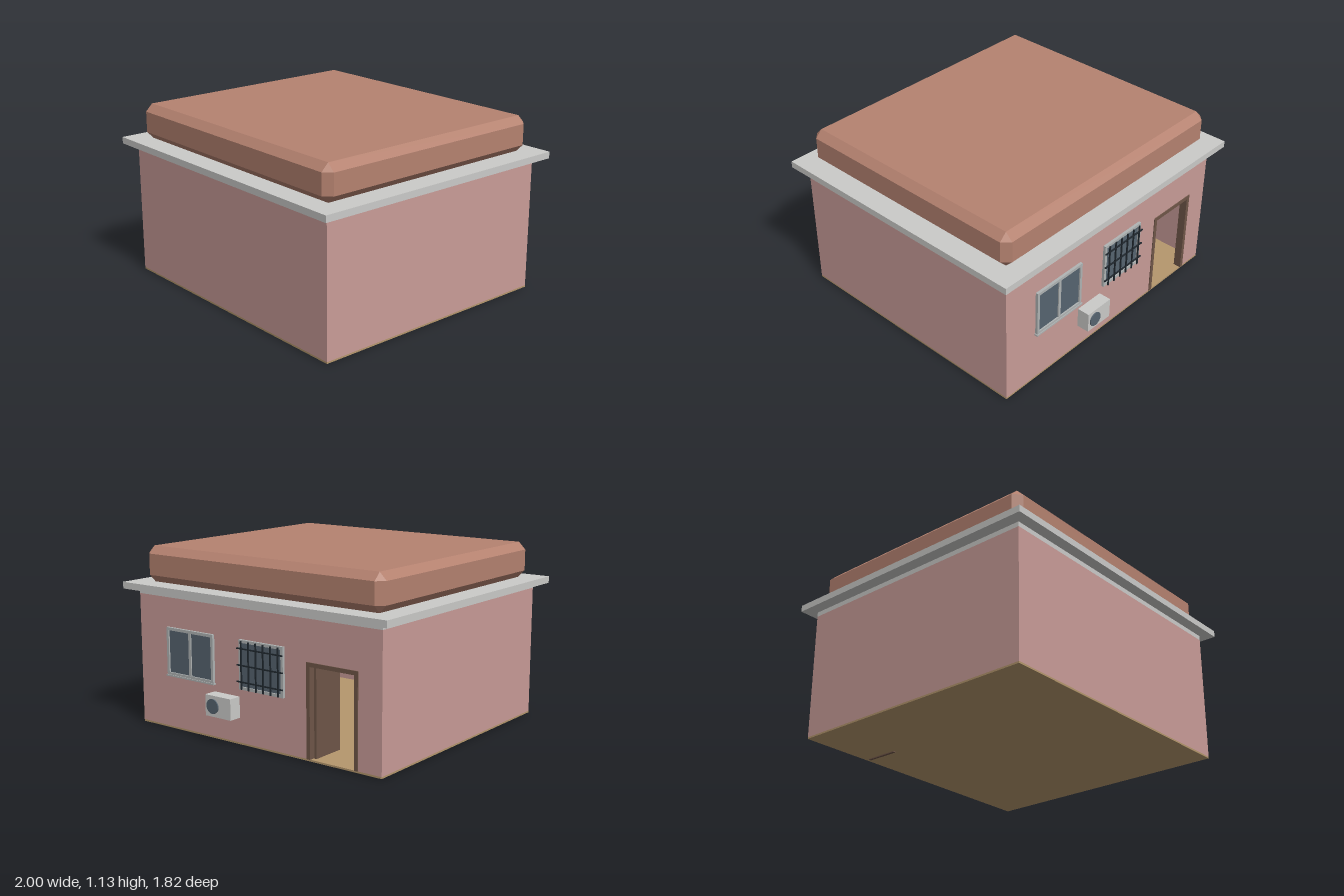
import * as THREE from 'three';
import { ConvexGeometry } from 'three/addons/geometries/ConvexGeometry.js';

const mat = (name, color) => {
  const m = new THREE.MeshStandardMaterial({ color });
  m.name = name;
  return m;
};

export function createModel() {
  const pink = mat('pink plaster', 0xc99c98);
  const grey = mat('light concrete', 0xcbcbc9);
  const clay = mat('clay roof', 0xb58270);
  const tan = mat('tan floor', 0xb5976d);
  const brown = mat('brown wood', 0x6f5648);
  const alu = mat('window frame grey', 0xb0b4b4);
  const glass = mat('slate glass', 0x566470);
  const iron = mat('dark iron', 0x20282f);

  const model = new THREE.Group();
  model.name = 'house';

  // Box given by its min and max corners
  const box = (name, m, x0, x1, y0, y1, z0, z1, parent = model) => {
    const mesh = new THREE.Mesh(new THREE.BoxGeometry(x1 - x0, y1 - y0, z1 - z0), m);
    mesh.position.set((x0 + x1) / 2, (y0 + y1) / 2, (z0 + z1) / 2);
    mesh.name = name;
    parent.add(mesh);
    return mesh;
  };
  const group = (name) => {
    const g = new THREE.Group();
    g.name = name;
    model.add(g);
    return g;
  };

  const W = 0.925, ZB = -0.82, ZF = 0.84, T = 0.04, Y0 = 0.017, Y1 = 0.833;

  // Floor, ceiling band, eaves slab
  box('floor', tan, -W, W, 0.006, Y0, ZB, ZF);
  box('ceilingBand', grey, -W, W, Y1, 0.865, ZB, ZF);
  box('eavesSlab', grey, -1, 1, 0.863, 0.905, -0.89, 0.91);

  // Solid walls
  box('frontWall', pink, -W, W, Y0, Y1, ZF - T, ZF);
  box('leftWall', pink, W - T, W, Y0, Y1, ZB + T, ZF - T);
  box('rightWall', pink, -W, -W + T, Y0, Y1, ZB + T, ZF - T);

  // Back wall with the doorway notched out
  const D0 = -0.765, D1 = -0.405, DH = 0.585;
  const outline = [[-W, Y0], [D0, Y0], [D0, DH], [D1, DH], [D1, Y0], [W, Y0], [W, Y1], [-W, Y1]];
  const backWall = new THREE.Mesh(
    new THREE.ExtrudeGeometry(new THREE.Shape(outline.map((p) => new THREE.Vector2(...p))),
      { depth: T, bevelEnabled: false }), pink);
  backWall.position.z = ZB;
  backWall.name = 'backWall';
  model.add(backWall);

  // Chamfered roof block: three points at each corner
  const c = 0.046, half = [0.9, 0.1125, 0.807], pts = [];
  for (const sx of [-1, 1]) for (const sy of [-1, 1]) for (const sz of [-1, 1]) {
    for (let k = 0; k < 3; k++) {
      const v = [sx, sy, sz].map((s, i) => s * (half[i] - (i === k ? 0 : c)));
      pts.push(new THREE.Vector3(...v));
    }
  }
  const roof = new THREE.Mesh(new ConvexGeometry(pts), clay);
  roof.position.set(0, 1.0175, 0.008);
  roof.name = 'roofBlock';
  model.add(roof);

  // Door frame and door leaf swung inward
  const door = group('doorway');
  const f = 0.025, z0 = ZB - 0.005, z1 = ZB + T + 0.005;
  box('doorJambLeft', brown, D1 - f, D1, Y0, DH, z0, z1, door);
  box('doorJambRight', brown, D0, D0 + f, Y0, DH, z0, z1, door);
  box('doorHead', brown, D0 + f, D1 - f, DH - f, DH, z0, z1, door);
  box('doorLeaf', brown, -0.45, -0.434, 0, DH - f, -0.79, -0.57, door);

  // Rectangular window frame with a glass plate behind it
  const windowFrame = (g, x0, x1, y0, y1, zOut, b) => {
    box('glass', glass, x0 + b, x1 - b, y0 + b, y1 - b, ZB - 0.008, ZB, g);
    box('frameTop', alu, x0, x1, y1 - b, y1, zOut, ZB, g);
    box('frameBottom', alu, x0, x1, y0, y0 + b, zOut, ZB, g);
    box('frameSide', alu, x0, x0 + b, y0 + b, y1 - b, zOut, ZB, g);
    box('frameSide', alu, x1 - b, x1, y0 + b, y1 - b, zOut, ZB, g);
  };

  // Two-pane sliding window
  const sliding = group('slidingWindow');
  windowFrame(sliding, 0.3, 0.685, 0.35, 0.65, -0.837, 0.018);
  box('mullion', alu, 0.483, 0.502, 0.368, 0.632, -0.835, ZB, sliding);
  box('sill', alu, 0.294, 0.691, 0.343, 0.353, -0.842, ZB, sliding);

  // Window with an iron grille
  const barred = group('barredWindow');
  windowFrame(barred, -0.245, 0.092, 0.35, 0.65, -0.837, 0.018);
  const r = 0.004;
  for (let i = 0; i < 6; i++) {
    const x = -0.217 + i * 0.056;
    box('grilleUpright', iron, x - r, x + r, 0.355, 0.645, -0.852, -0.844, barred);
  }
  for (let i = 0; i < 3; i++) {
    const y = 0.4 + i * 0.1;
    box('grilleRail', iron, -0.25, 0.098, y - r, y + r, -0.85, -0.842, barred);
  }

  // Air conditioner with a round fan
  const cooler = group('airConditioner');
  box('coolerBody', grey, 0.105, 0.305, 0.17, 0.3, -0.902, ZB, cooler);
  const fan = new THREE.Mesh(new THREE.CylinderGeometry(0.046, 0.046, 0.008, 16), glass);
  fan.rotation.x = Math.PI / 2;
  fan.position.set(0.245, 0.235, -0.906);
  fan.name = 'fan';
  cooler.add(fan);

  return model;
}
